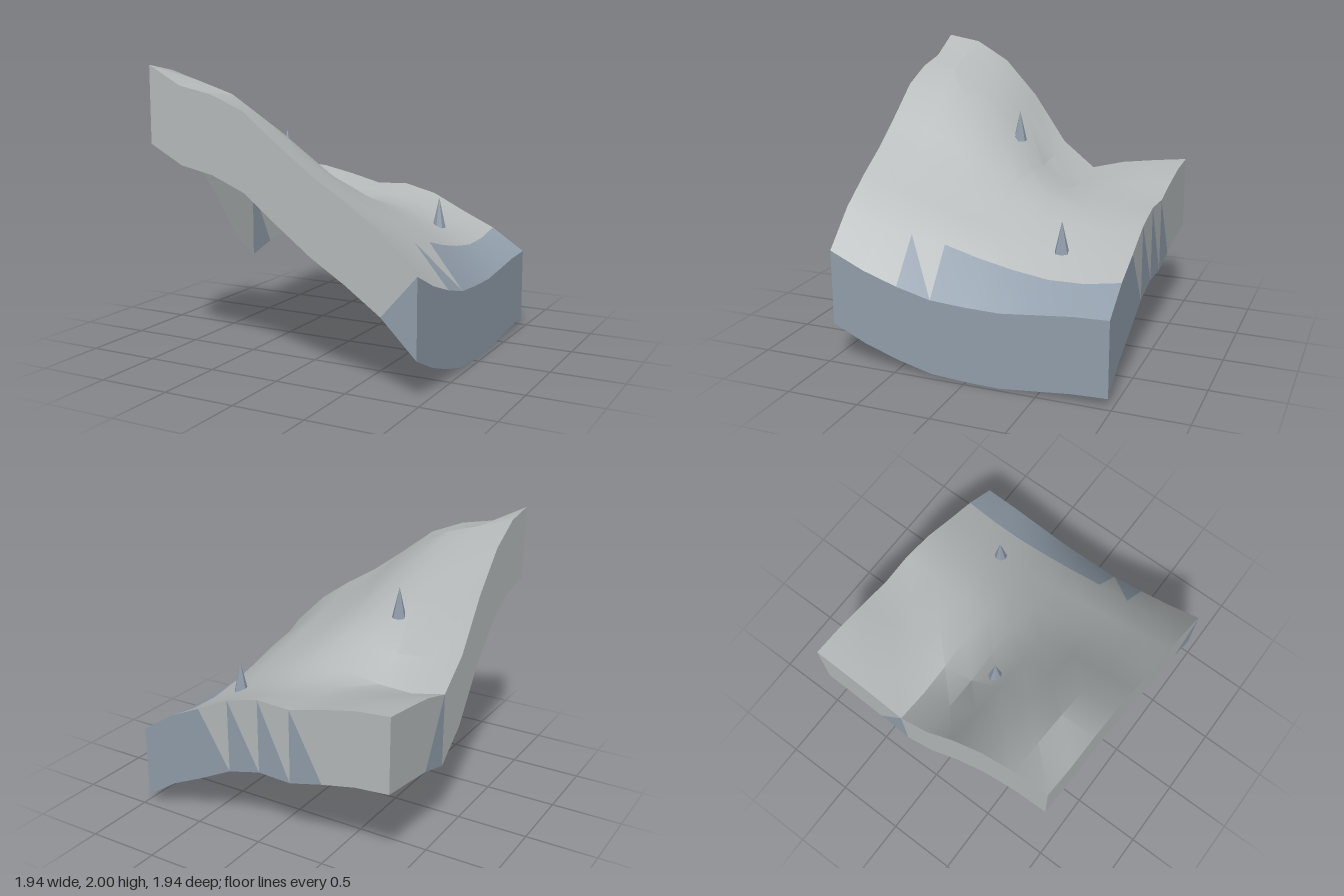
import * as THREE from 'three';
import { toCreasedNormals } from 'three/addons/utils/BufferGeometryUtils.js';

const HALF = 0.97, CELLS = 8, DEPTH = 0.52;

// Terrain heights: rows run from back to front, columns from -x to +x
const HEIGHTS = [
  [1.15, 1.13, 1.08, 1.02, 1.03, 0.97, 0.85, 0.74, 0.58],
  [1.12, 1.10, 1.05, 1.00, 0.975, 0.92, 0.81, 0.70, 0.57],
  [1.085, 1.05, 1.02, 0.985, 0.97, 0.92, 0.81, 0.695, 0.545],
  [1.02, 0.97, 0.98, 1.02, 1.02, 0.96, 0.85, 0.73, 0.52],
  [1.21, 1.14, 1.12, 1.15, 1.12, 1.03, 0.91, 0.78, 0.525],
  [1.56, 1.50, 1.44, 1.35, 1.24, 1.10, 0.98, 0.845, 0.54],
  [1.82, 1.74, 1.66, 1.54, 1.36, 1.18, 1.05, 0.89, 0.60],
  [1.96, 1.885, 1.81, 1.66, 1.47, 1.27, 1.12, 0.95, 0.68],
  [2.00, 1.87, 1.82, 1.72, 1.53, 1.35, 1.20, 1.03, 0.79],
];

const coord = (i) => -HALF + (2 * HALF * i) / CELLS;
const point = (col, row, drop = 0) => [coord(col), HEIGHTS[row][col] - drop, coord(row)];

export function createModel() {
  const group = new THREE.Group();
  group.name = 'terrainTile';

  const stone = new THREE.MeshStandardMaterial({ color: 0xb6babb, side: THREE.DoubleSide });
  stone.name = 'pale grey stone';
  const slate = new THREE.MeshStandardMaterial({ color: 0x919eab, side: THREE.DoubleSide });
  slate.name = 'blue grey slate';

  // One mesh from two triangle lists, one list for each colour
  function addMesh(name, grey, blue) {
    const geometry = new THREE.BufferGeometry();
    geometry.setAttribute('position', new THREE.Float32BufferAttribute([...grey, ...blue].flat(2), 3));
    geometry.addGroup(0, grey.length * 3, 0);
    geometry.addGroup(grey.length * 3, blue.length * 3, 1);
    const mesh = new THREE.Mesh(toCreasedNormals(geometry, 0.45), [stone, slate]);
    mesh.name = name;
    group.add(mesh);
  }

  // Ground surface, with a slate strip along the low +x edge
  const grey = [], blue = [];
  for (let row = 0; row < CELLS; row++) {
    for (let col = 0; col < CELLS; col++) {
      const a = point(col, row), b = point(col, row + 1);
      const c = point(col + 1, row + 1), d = point(col + 1, row);
      const edge = col === CELLS - 1;
      (edge && row < 5 ? blue : grey).push([a, b, d]);
      (edge && row < 6 ? blue : grey).push([b, c, d]);
    }
  }
  addMesh('groundSurface', grey, blue);

  // Skirt walls; the underside stays open
  function addWall(name, at, flip, lowerIsBlue, upperIsBlue) {
    const greyTris = [], blueTris = [];
    for (let i = 0; i < CELLS; i++) {
      const t0 = point(...at(i)), t1 = point(...at(i + 1));
      const b0 = point(...at(i), DEPTH), b1 = point(...at(i + 1), DEPTH);
      const lower = flip ? [b0, t1, b1] : [b0, b1, t1];
      const upper = flip ? [b0, t0, t1] : [b0, t1, t0];
      (lowerIsBlue(i) ? blueTris : greyTris).push(lower);
      (upperIsBlue(i) ? blueTris : greyTris).push(upper);
    }
    addMesh(name, greyTris, blueTris);
  }
  addWall('frontWall', (i) => [i, CELLS], false, (i) => i === 7, () => false);
  addWall('backWall', (i) => [i, 0], true, (i) => i >= 2, (i) => i >= 6);
  addWall('rightWall', (i) => [0, i], false, (i) => i === 2, () => false);
  addWall('leftWall', (i) => [CELLS, i], true, () => true, () => true);

  // Two small faceted spikes standing on the slope
  const spike = toCreasedNormals(new THREE.ConeGeometry(0.05, 0.22, 7), 0.1);
  for (const [x, y, z] of [[0.485, 0.8, -0.49], [-0.41, 1.32, 0.155]]) {
    const mesh = new THREE.Mesh(spike, slate);
    mesh.name = 'rockSpike';
    mesh.position.set(x, y + 0.11, z);
    group.add(mesh);
  }
  return group;
}
